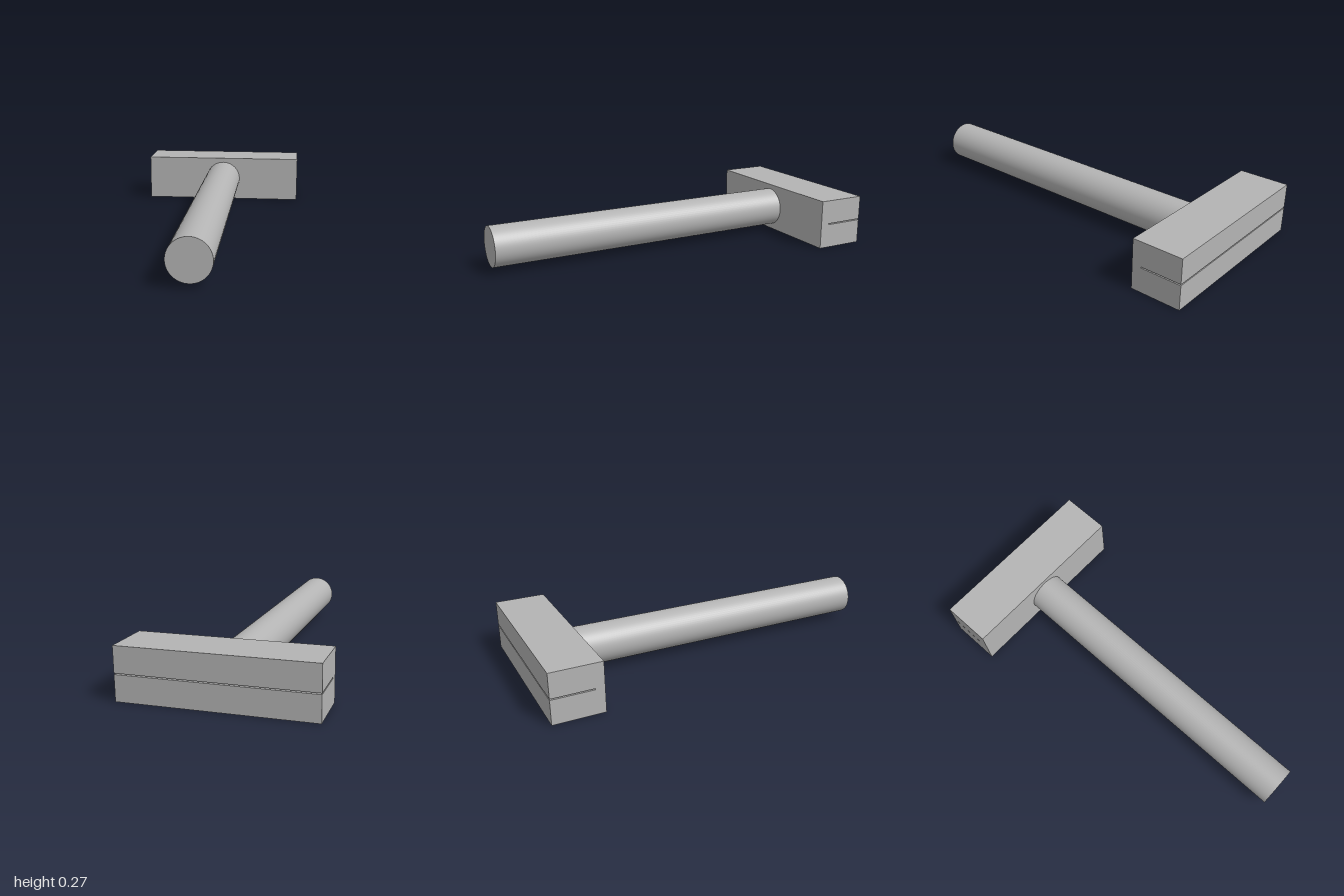
import * as THREE from 'three';

export function createModel() {
  const group = new THREE.Group();
  const grey = new THREE.MeshStandardMaterial({ color: 0xb4b4b4 });
  grey.name = 'plain grey';

  const width = 0.972, height = 0.27, midY = height / 2;
  const front = 0.73, back = 1, slotEnd = 0.78, slot = 0.003;

  // Head: block side profile with a thin slot cut in from the back, run along x
  const profile = new THREE.Shape([
    [front, 0], [back, 0], [back, midY - slot], [slotEnd, midY - slot],
    [slotEnd, midY + slot], [back, midY + slot], [back, height], [front, height],
  ].map(([x, y]) => new THREE.Vector2(x, y)));
  const headGeometry = new THREE.ExtrudeGeometry(profile, { depth: width, bevelEnabled: false });
  headGeometry.rotateY(Math.PI / 2).translate(-width / 2, 0, 0);
  const head = new THREE.Mesh(headGeometry, grey);
  head.name = 'slottedHead';
  group.add(head);

  // Handle: smooth round bar from the head to the front
  const length = 1 + front;
  const handle = new THREE.Mesh(new THREE.CylinderGeometry(0.108, 0.108, length, 64), grey);
  handle.name = 'handle';
  handle.rotation.x = Math.PI / 2;
  handle.position.set(0, midY, 1 - length / 2);
  group.add(handle);

  return group;
}
